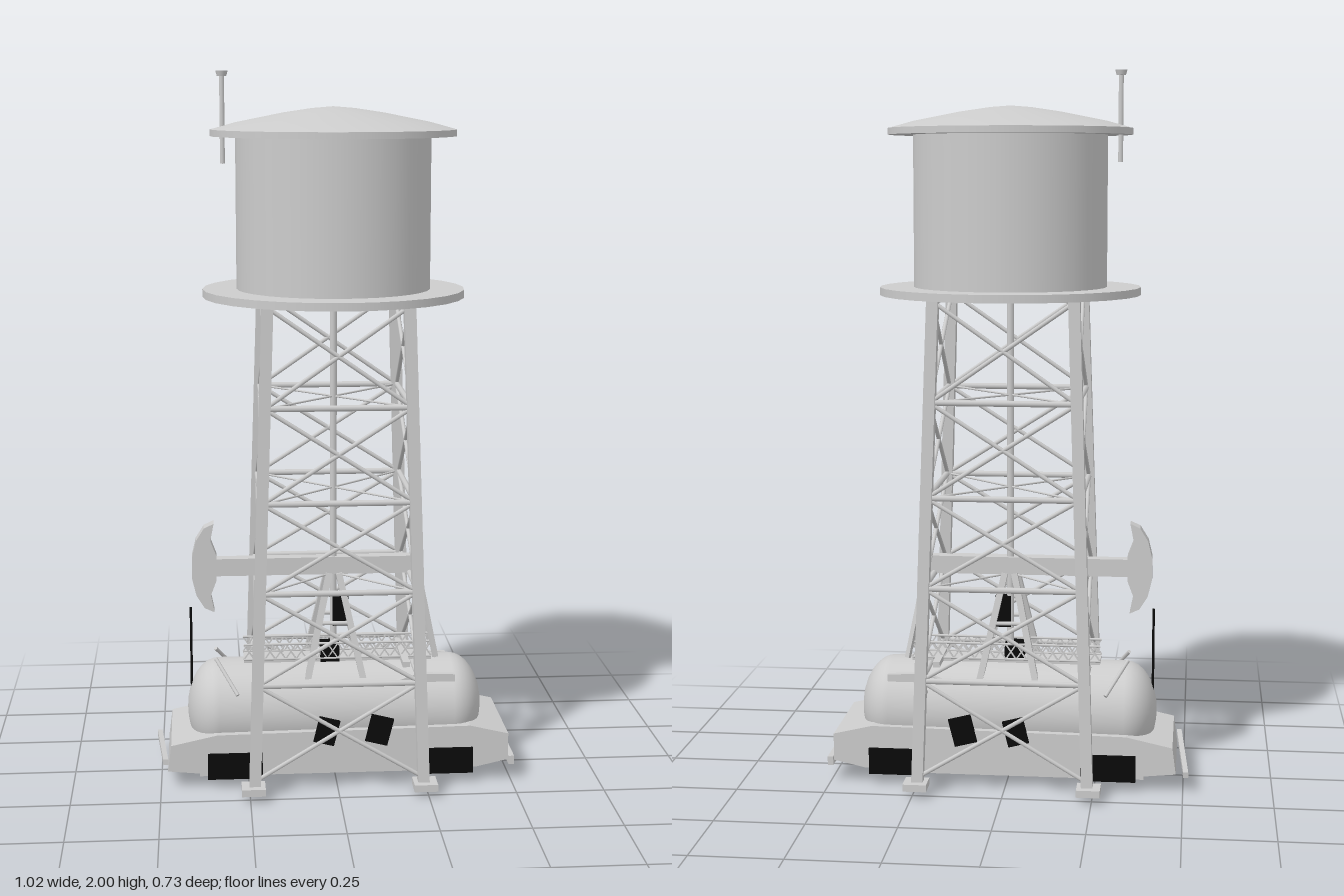
import * as THREE from 'three';

export function createModel() {
  const model = new THREE.Group();
  const grey = new THREE.MeshStandardMaterial({ color: 0xcccccc });
  grey.name = 'light grey';
  const black = new THREE.MeshStandardMaterial({ color: 0x0a0a0a });
  black.name = 'black';

  const add = (name, geo, x = 0, y = 0, z = 0, mat = grey, parent = model) => {
    const mesh = new THREE.Mesh(geo, mat);
    mesh.name = name;
    mesh.position.set(x, y, z);
    parent.add(mesh);
    return mesh;
  };
  const box = (name, w, h, d, x, y, z, mat, parent) =>
    add(name, new THREE.BoxGeometry(w, h, d), x, y, z, mat, parent);
  const group = (name) => {
    const g = new THREE.Group();
    g.name = name;
    model.add(g);
    return g;
  };
  const up = new THREE.Vector3(0, 1, 0);
  // Straight member between two points: square when flat is set, otherwise round
  const bar = (name, a, b, width, parent, flat = false, mat = grey) => {
    const p = new THREE.Vector3(...a), q = new THREE.Vector3(...b);
    const dir = q.clone().sub(p), len = dir.length();
    const geo = flat ? new THREE.BoxGeometry(width, len, width)
      : new THREE.CylinderGeometry(width / 2, width / 2, len, 8);
    const mid = p.add(q).multiplyScalar(0.5);
    const mesh = add(name, geo, mid.x, mid.y, mid.z, mat, parent);
    mesh.quaternion.setFromUnitVectors(up, dir.normalize());
    return mesh;
  };
  const plate = (name, pts, depth, z, parent, mat = grey) => {
    const shape = new THREE.Shape(pts.map(([x, y]) => new THREE.Vector2(x, y)));
    const geo = new THREE.ExtrudeGeometry(shape, { depth, bevelEnabled: false });
    return add(name, geo, 0, 0, z - depth / 2, mat, parent);
  };

  // Water tank, walkway and roof
  add('towerPlatform', new THREE.CylinderGeometry(0.365, 0.365, 0.022, 28), 0, 1.395, 0);
  add('waterTank', new THREE.CylinderGeometry(0.27, 0.27, 0.43, 32), 0, 1.618, 0);
  add('roofRim', new THREE.CylinderGeometry(0.34, 0.34, 0.018, 28), 0, 1.834, 0);
  const roofProfile = [[0.338, 1.843], [0.27, 1.862], [0.14, 1.888], [0.06, 1.9], [0, 1.905]];
  add('roof', new THREE.LatheGeometry(roofProfile.map(p => new THREE.Vector2(...p)), 28));

  // Vent pole
  add('ventPole', new THREE.CylinderGeometry(0.007, 0.007, 0.24, 10), -0.305, 1.87, 0);
  add('ventCap', new THREE.CylinderGeometry(0.017, 0.013, 0.014, 14), -0.305, 1.993, 0);

  // Tower frame: four leaning legs with crossed bracing in five tiers
  const frame = group('towerFrame');
  const reach = y => 0.237 - 0.045 * (y - 0.03) / 1.36;
  const corners = [[1, 1], [-1, 1], [-1, -1], [1, -1]];
  const at = ([sx, sz], y) => [sx * reach(y), y, sz * reach(y)];
  const levels = [0.05, 0.325, 0.585, 0.837, 1.1, 1.375];
  corners.forEach((c, i) => {
    const next = corners[(i + 1) % 4];
    bar('towerLeg', at(c, 0.03), at(c, 1.388), 0.032, frame, true);
    box('towerFoot', 0.066, 0.02, 0.066, c[0] * 0.241, 0.03, c[1] * 0.241, grey, frame);
    for (let k = 0; k < 5; k++) {
      const lo = levels[k], hi = levels[k + 1];
      bar('crossBrace', at(c, lo), at(next, hi), 0.012, frame);
      bar('crossBrace', at(next, lo), at(c, hi), 0.012, frame);
      if (k < 4) bar('girt', at(c, hi), at(next, hi), 0.017, frame);
      if (k > 0) bar('innerTie', at(c, hi), [0, hi, 0], 0.006, frame);
    }
  });
  add('riserPipe', new THREE.CylinderGeometry(0.01, 0.01, 1.06, 10), 0, 0.86, 0, grey, frame);

  // Wagon body with sloping ends
  const wagon = group('wagon');
  plate('wagonBody', [[-0.48, 0.055], [-0.38, 0.045], [0.4, 0.045], [0.49, 0.065], [0.49, 0.142],
    [0.38, 0.168], [-0.34, 0.158], [-0.47, 0.13]], 0.31, 0, wagon);
  box('underFrame', 0.78, 0.022, 0.25, 0, 0.037, 0, grey, wagon);
  for (const s of [-1, 1]) box('underRail', 0.6, 0.012, 0.014, 0, 0.021, s * 0.09, grey, wagon);
  for (let i = 0; i < 9; i++)
    box('underBlock', 0.036, 0.026, 0.03, -0.28 + i * 0.07, 0.014, 0, grey, wagon);
  const loose = box('rearBumper', 0.014, 0.016, 0.318, -0.497, 0.069, -0.005, grey, wagon);
  loose.rotation.set(-0.08, 0.07, 0);
  box('frontBumper', 0.016, 0.025, 0.312, 0.5, 0.062, 0, grey, wagon);
  for (const s of [-1, 1]) {
    box('wheelPanel', 0.155, 0.075, 0.008, -0.29, 0.067, s * 0.159, black, wagon);
    box('wheelPanel', 0.13, 0.075, 0.008, 0.323, 0.067, s * 0.159, black, wagon);
    const a = box('sidePanel', 0.06, 0.075, 0.009, -0.03, 0.163, s * 0.156, black, wagon);
    const b = box('sidePanel', 0.065, 0.08, 0.009, 0.12, 0.163, s * 0.156, black, wagon);
    a.rotation.z = -0.25;
    b.rotation.z = -0.25;
  }

  // Horizontal tank with rounded ends
  const profile = [];
  for (let i = 0; i <= 8; i++) {
    const t = (i / 8) * Math.PI / 2;
    profile.push(new THREE.Vector2(0.139 * Math.sin(t), -0.335 - 0.09 * Math.cos(t)));
  }
  for (let i = 8; i >= 0; i--) profile.push(new THREE.Vector2(profile[i].x, -profile[i].y));
  const wagonTank = add('wagonTank', new THREE.LatheGeometry(profile, 32), 0.003, 0.194, 0, grey, wagon);
  wagonTank.rotation.z = -Math.PI / 2;

  // Lattice railings along the tank top
  const rails = group('walkway');
  box('walkwayDeck', 0.54, 0.008, 0.08, 0.01, 0.336, 0, grey, rails);
  for (const z of [-0.04, 0.04]) {
    for (const y of [0.342, 0.386]) bar('rail', [-0.26, y, z], [0.28, y, z], 0.007, rails);
    for (let i = 0; i < 18; i++) {
      const x = -0.26 + i * 0.03;
      bar('lattice', [x, 0.342, z], [x + 0.03, 0.386, z], 0.004, rails, true);
      bar('lattice', [x + 0.03, 0.342, z], [x, 0.386, z], 0.004, rails, true);
    }
  }

  // Rocking beam pump on top of the wagon
  const pump = group('beamPump');
  box('walkingBeam', 0.6, 0.05, 0.036, -0.045, 0.61, 0, grey, pump);
  plate('beamHead', [[-0.342, 0.74], [-0.37, 0.727], [-0.393, 0.69], [-0.405, 0.64], [-0.405, 0.58],
    [-0.393, 0.53], [-0.37, 0.493], [-0.342, 0.48], [-0.352, 0.53], [-0.335, 0.575],
    [-0.335, 0.645], [-0.352, 0.69]], 0.046, 0, pump);
  for (const s of [-1, 1]) {
    for (const x of [-1, 1])
      bar('postLeg', [x * 0.08, 0.29, s * 0.085], [x * 0.014, 0.59, s * 0.028], 0.018, pump, true);
    bar('postTie', [-0.04, 0.45, s * 0.054], [0.04, 0.45, s * 0.054], 0.012, pump);
    bar('pitmanArm', [0.24, 0.6, s * 0.026], [0.29, 0.345, s * 0.06], 0.013, pump, true);
    plate('crank', [[0.16, 0.287], [0.34, 0.287], [0.34, 0.308], [0.23, 0.312]], 0.016, s * 0.105, pump);
    bar('tankPipe', [-0.34, 0.35, s * 0.05], [-0.28, 0.265, s * 0.125], 0.011, pump);
  }
  bar('tailCrossbar', [0.24, 0.6, -0.035], [0.24, 0.6, 0.035], 0.018, pump);
  box('crossArm', 0.02, 0.016, 0.23, 0.2, 0.341, 0, grey, pump);
  box('motor', 0.045, 0.09, 0.03, 0.02, 0.475, 0, black, pump);
  box('motorBase', 0.055, 0.05, 0.06, -0.012, 0.356, 0.012, black, pump);
  bar('polishedRod', [-0.41, 0.2, 0], [-0.41, 0.49, 0], 0.007, pump, false, black);

  return model;
}
